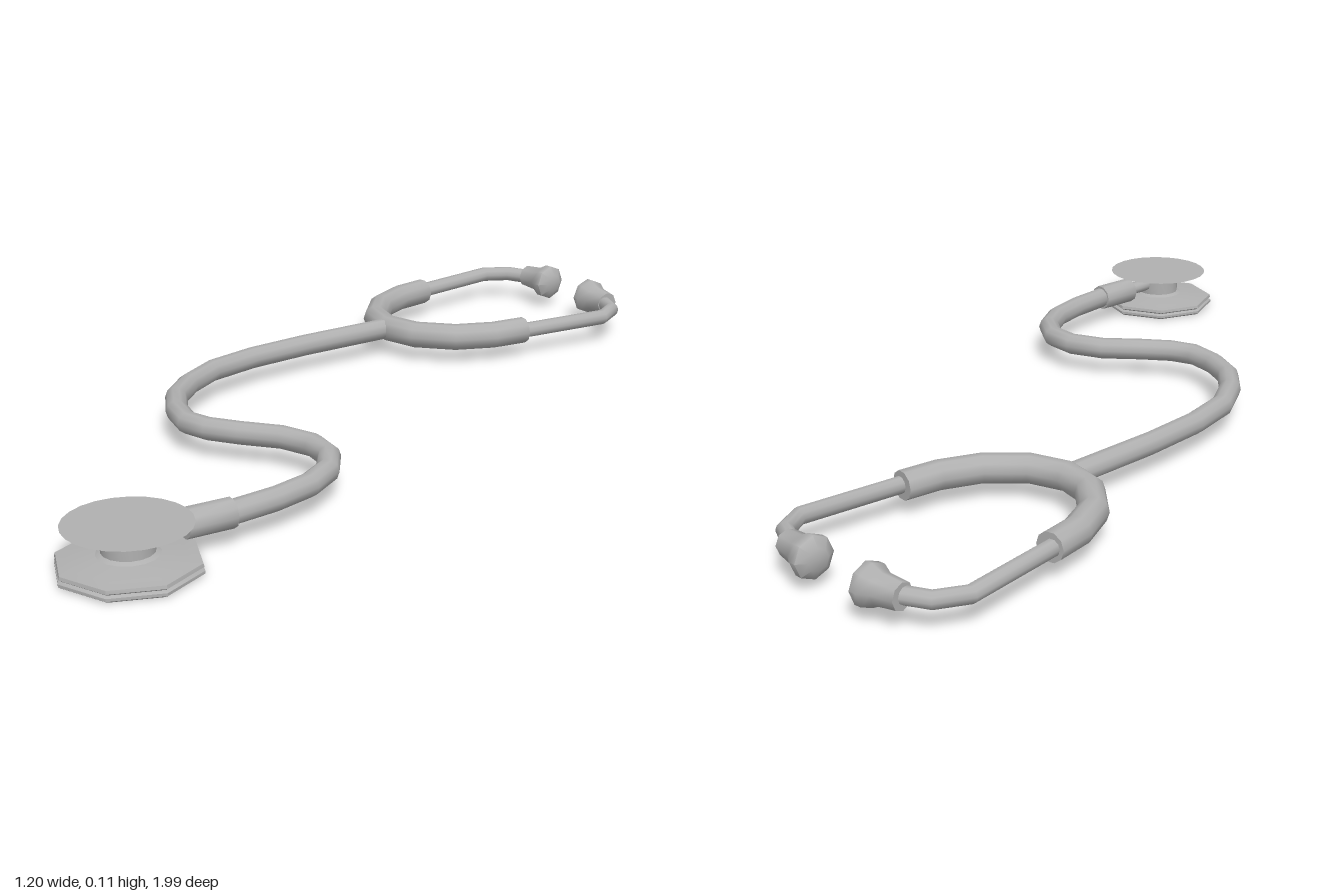
import * as THREE from 'three';
import { toCreasedNormals } from 'three/addons/utils/BufferGeometryUtils.js';

const LEVEL = 0.067; // height of all tube centre lines
const AXIS = -0.3335; // mirror line of the headset

const grey = new THREE.MeshStandardMaterial({ color: 0xb0b0b0 });
grey.name = 'grey';
const greySheet = new THREE.MeshStandardMaterial({ color: 0xb0b0b0, side: THREE.DoubleSide });
greySheet.name = 'grey sheet';

// Round sweep along a level path of [x, z, radius], closed at both ends
function sweep(name, path, sides = 10) {
  const first = path[0], last = path[path.length - 1];
  const rows = [[first[0], first[1], 0], ...path, [last[0], last[1], 0]];
  const pos = [], index = [];
  rows.forEach(([x, z, r], i) => {
    const a = rows[Math.max(i - 1, 0)], b = rows[Math.min(i + 1, rows.length - 1)];
    const t = new THREE.Vector2(b[0] - a[0], b[1] - a[1]).normalize();
    for (let j = 0; j < sides; j++) {
      const angle = (j / sides) * Math.PI * 2;
      const c = Math.cos(angle) * r, s = Math.sin(angle) * r;
      pos.push(x + t.y * c, LEVEL + s, z - t.x * c);
      if (i === rows.length - 1) continue;
      const p = i * sides + j, q = i * sides + (j + 1) % sides;
      if (rows[i][2] > 0) index.push(p, q, p + sides);
      if (rows[i + 1][2] > 0) index.push(q, q + sides, p + sides);
    }
  });
  const geo = new THREE.BufferGeometry();
  geo.setAttribute('position', new THREE.Float32BufferAttribute(pos, 3));
  geo.setIndex(index);
  const mesh = new THREE.Mesh(toCreasedNormals(geo, 1.0), grey);
  mesh.name = name;
  return mesh;
}

// Turned part from a bottom-to-top profile of [radius, y]
function turned(name, profile, sides, crease) {
  const geo = new THREE.LatheGeometry(profile.map(([r, y]) => new THREE.Vector2(r, y)), sides);
  const mesh = new THREE.Mesh(toCreasedNormals(geo, crease), grey);
  mesh.name = name;
  return mesh;
}

const withRadius = (points, r) => points.map(([x, z]) => [x, z, r]);
const mirrored = (path) => path.map(([x, z, r]) => [2 * AXIS - x, z, r]);

export function createModel() {
  const model = new THREE.Group();
  model.name = 'stethoscope';

  // Long S-shaped tube
  model.add(sweep('mainTube', withRadius([
    [-0.333, -0.33], [-0.338, -0.08], [-0.33, 0.08], [-0.304, 0.21], [-0.25, 0.307],
    [-0.188, 0.376], [-0.108, 0.42], [-0.03, 0.438], [0.03, 0.42], [0.093, 0.376],
    [0.167, 0.315], [0.246, 0.286], [0.32, 0.296], [0.384, 0.344], [0.426, 0.418],
    [0.447, 0.513], [0.456, 0.64],
  ], 0.026)));

  // U-shaped yoke
  const half = withRadius([[-0.548, -0.61], [-0.535, -0.52], [-0.495, -0.43], [-0.42, -0.36]], 0.033);
  model.add(sweep('yoke', [...half, [AXIS, -0.336, 0.033], ...mirrored(half).reverse()]));

  // Ear tubes and ear tips, one pair
  const arm = withRadius([[-0.549, -0.58], [-0.582, -0.852], [-0.548, -0.915], [-0.48, -0.946]], 0.019);
  const tip = [
    [-0.5, -0.944, 0.029], [-0.45, -0.95, 0.034], [-0.427, -0.952, 0.046],
    [-0.41, -0.953, 0.046], [-0.395, -0.954, 0.024],
  ];
  model.add(sweep('rightEarTube', arm), sweep('leftEarTube', mirrored(arm)));
  model.add(sweep('rightEarTip', tip, 8), sweep('leftEarTip', mirrored(tip), 8));

  // Connector from the tube into the chest piece
  model.add(sweep('connector', [[0.456, 0.62, 0.032], [0.448, 0.725, 0.032]]));
  model.add(sweep('connectorPin', [[0.449, 0.71, 0.016], [0.446, 0.82, 0.016]]));

  // Chest piece: octagonal base, round stem and thin top disc
  const chest = new THREE.Group();
  chest.name = 'chestPiece';
  chest.position.set(0.446, 0, 0.846);
  chest.add(turned('base', [
    [0, 0], [0.142, 0], [0.15, 0.005], [0.15, 0.011], [0.143, 0.015], [0.149, 0.019],
    [0.147, 0.026], [0.12, 0.029], [0.07, 0.037], [0, 0.037],
  ], 8, 0.6));
  chest.add(turned('stem', [
    [0.07, 0.034], [0.054, 0.042], [0.054, 0.088], [0.071, 0.092], [0.071, 0.096], [0, 0.096],
  ], 16, 0.6));
  const disc = new THREE.Mesh(new THREE.CircleGeometry(0.13, 24), greySheet);
  disc.name = 'topDisc';
  disc.rotation.x = -Math.PI / 2;
  disc.position.y = 0.098;
  chest.add(disc);
  model.add(chest);

  return model;
}
